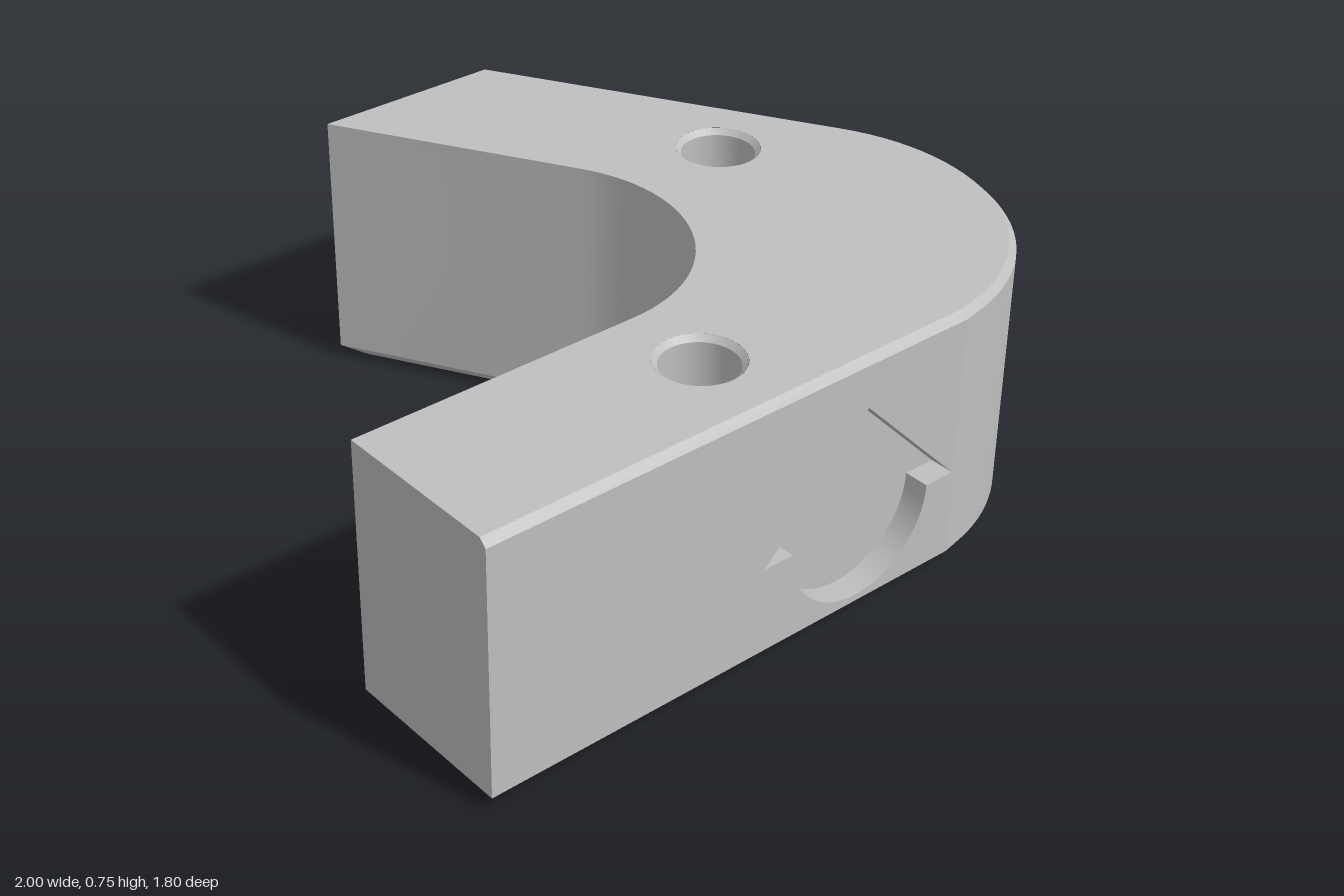
import * as THREE from 'three';
import { toCreasedNormals } from 'three/addons/utils/BufferGeometryUtils.js';

const SWEEP = Math.PI * 2 / 3; // bend between the two arms
const HEIGHT = 0.75;
const FRONT = 0.9;
const PANEL_END = 0.46; // right end of the flat front panel
const HOLES = [[-0.18, 0.65], [0.57, -0.12]];
const HOLE_RADIUS = 0.1;
const LIP = 0.015;

// Points [x, z] of a tangent arc between the two arms
function arc(cx, cz, r, start, steps, first) {
  const pts = [];
  for (let k = first; k <= steps; k++) {
    const a = start + (SWEEP - start) * k / steps;
    pts.push([cx + r * Math.sin(a), cz + r * Math.cos(a)]);
  }
  return pts;
}

// Where the slanted arm edge starting at p meets the back end
const slantEnd = ([x, z], zEnd) => [x - (z - zEnd) * Math.tan(Math.PI / 6), zEnd];

// Plan outline, with the outer edge, inner edge and ends pulled in
function outline(outer, inner, ends) {
  const out = arc(0.4, 0.3, 0.6 - outer, 0.1, 28, 1);
  const inn = arc(-0.18, -0.035, 0.445 + inner, 0, 28, 0);
  const zEnd = -0.9 + ends;
  return [
    [-1 + ends, FRONT - outer], [PANEL_END, FRONT - outer],
    ...out, slantEnd(out.at(-1), zEnd),
    slantEnd(inn.at(-1), zEnd), ...inn.reverse(),
    [-1 + ends, 0.41 + inner],
  ];
}

// Closed strip of quads between two loops of 3D points
function band(a, b, skip = 0) {
  const pos = [];
  for (let i = skip; i < a.length; i++) {
    const j = (i + 1) % a.length;
    pos.push(...a[i], ...a[j], ...b[j], ...a[i], ...b[j], ...b[i]);
  }
  const g = new THREE.BufferGeometry();
  g.setAttribute('position', new THREE.Float32BufferAttribute(pos, 3));
  return toCreasedNormals(g, 0.4);
}

const shapeOf = (pts) => new THREE.Shape(pts.map(([x, y]) => new THREE.Vector2(x, y)));
const atHeight = (pts, y) => pts.map(([x, z]) => [x, y, z]);

// Arrow: triangular head on a half disc, counter-clockwise from the front
function arrowPoints() {
  const cx = 0.136, y = 0.285, r = 0.228, pts = [];
  for (let k = 0; k <= 28; k++) {
    const a = Math.PI + Math.PI * k / 28;
    pts.push([cx + r * Math.cos(a), y + r * Math.sin(a)]);
  }
  pts.push([cx + 0.319, y], [cx, 0.61], [cx - 0.319, y]);
  return pts;
}

export function createModel() {
  const model = new THREE.Group();
  const grey = new THREE.MeshStandardMaterial({ color: 0xbfbfbf });
  grey.name = 'grey';
  const add = (name, geometry, parent = model) => {
    const mesh = new THREE.Mesh(geometry, grey);
    mesh.name = name;
    parent.add(mesh);
    return mesh;
  };

  // Walls: chamfer all round the base, small chamfer on the outer top edge
  const base = outline(0.038, 0.038, 0.038);
  const wall = outline(0, 0, 0);
  const top = outline(0.02, 0, 0);
  const low = 0.038, high = HEIGHT - 0.02;
  add('baseChamfer', band(atHeight(base, 0), atHeight(wall, low)));
  add('sideWall', band(atHeight(wall, low), atHeight(wall, high), 1));
  add('topChamfer', band(atHeight(wall, high), atHeight(top, HEIGHT)));

  // Underside and top face
  add('underside', new THREE.ShapeGeometry(shapeOf(base)).rotateX(Math.PI / 2));
  const topShape = shapeOf(top.map(([x, z]) => [x, -z]));
  for (const [x, z] of HOLES) {
    topShape.holes.push(new THREE.Path().absarc(x, -z, HOLE_RADIUS + LIP, 0, Math.PI * 2, true));
  }
  add('topFace', new THREE.ShapeGeometry(topShape, 32).rotateX(-Math.PI / 2).translate(0, HEIGHT, 0));

  // Blind round holes with a bevelled lip
  const profile = [
    [HOLE_RADIUS + LIP, HEIGHT], [HOLE_RADIUS, HEIGHT - LIP],
    [HOLE_RADIUS, HEIGHT - 0.2], [0, HEIGHT - 0.2],
  ].map(([r, y]) => new THREE.Vector2(r, y));
  for (const [x, z] of HOLES) {
    add('roundHole', toCreasedNormals(new THREE.LatheGeometry(profile, 32), 0.4)).position.set(x, 0, z);
  }

  // Flat front panel with the sunken arrow
  const arrow = arrowPoints();
  const panel = shapeOf([[-1, low], [PANEL_END, low], [PANEL_END, high], [-1, high]]);
  panel.holes.push(shapeOf(arrow));
  add('frontPanel', new THREE.ShapeGeometry(panel).translate(0, 0, FRONT));
  const recess = new THREE.Group();
  recess.name = 'arrowRecess';
  model.add(recess);
  const back = FRONT - 0.07;
  add('recessWall', band(arrow.map(([x, y]) => [x, y, FRONT]), arrow.map(([x, y]) => [x, y, back])), recess);
  add('recessFloor', new THREE.ShapeGeometry(shapeOf(arrow)).translate(0, 0, back), recess);

  return model;
}
